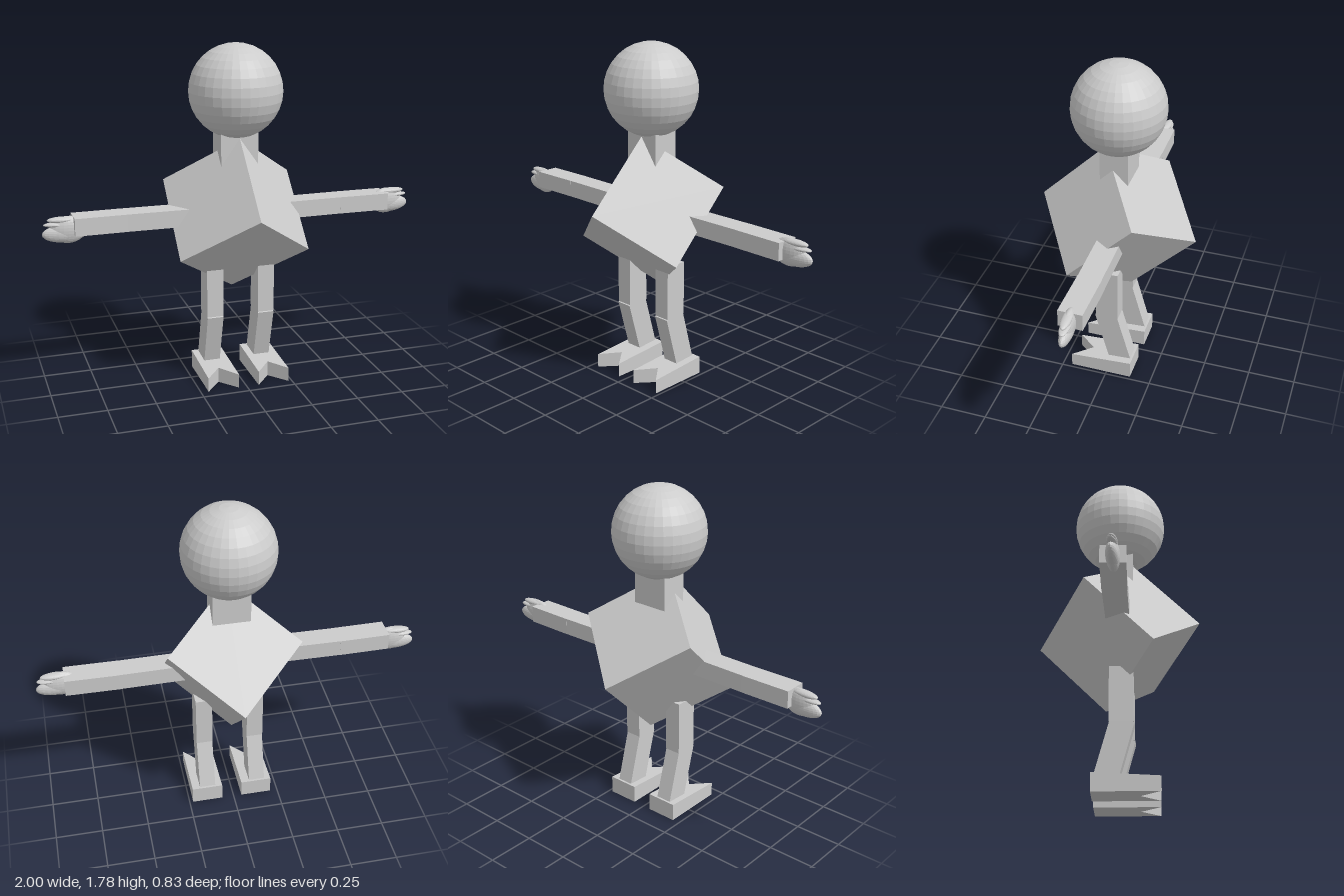
import * as THREE from 'three';

const material = new THREE.MeshStandardMaterial({ color: 0xcccccc, flatShading: true });

function add(parent, name, geometry, x = 0, y = 0, z = 0) {
  const mesh = new THREE.Mesh(geometry, material);
  mesh.name = name;
  mesh.position.set(x, y, z);
  parent.add(mesh);
  return mesh;
}

// Box running along x between two points
function addSegment(parent, name, from, to, height, depth) {
  const a = new THREE.Vector3(...from), b = new THREE.Vector3(...to);
  const mesh = add(parent, name, new THREE.BoxGeometry(a.distanceTo(b), height, depth));
  mesh.position.copy(a).lerp(b, 0.5);
  mesh.quaternion.setFromUnitVectors(new THREE.Vector3(1, 0, 0), b.sub(a).normalize());
}

function ellipsoid(rx, ry, rz) {
  return new THREE.SphereGeometry(1, 24, 14).scale(rx, ry, rz);
}

// Wedge foot with a V-shaped notch between two pointed toes
function footGeometry() {
  const shape = new THREE.Shape([
    [-0.083, -0.2], [0, -0.1], [0.083, -0.2], [0.083, 0.135], [-0.083, 0.135],
  ].map(([x, y]) => new THREE.Vector2(x, y)));
  const geometry = new THREE.ExtrudeGeometry(shape, { depth: 0.09, bevelEnabled: false });
  geometry.rotateX(-Math.PI / 2);
  const p = geometry.attributes.position;
  for (let i = 0; i < p.count; i++) {
    // The top slopes down toward the toes
    if (p.getY(i) > 0.01) p.setY(i, 0.095 - (p.getZ(i) + 0.135) * 0.06);
  }
  geometry.computeVertexNormals();
  return geometry;
}

function createArm(side, name, y, z, endX) {
  const arm = new THREE.Group();
  arm.name = name;
  addSegment(arm, 'upperArm', [side * 0.2, y, z + 0.002], [side * 0.59, y, z - 0.003], 0.09, 0.12);
  addSegment(arm, 'forearm', [side * 0.58, y, z - 0.003], [side * endX, y, z], 0.09, 0.122);

  // Rounded palm with fingers split at the outer end
  const hand = new THREE.Group();
  hand.name = 'hand';
  hand.position.set(side * 0.88, 0.885, z);
  hand.rotation.y = side > 0 ? 0.06 : -0.06;
  add(hand, 'palm', ellipsoid(0.09, 0.07, 0.032), -side * 0.01);
  add(hand, 'lowerFinger', ellipsoid(0.11, 0.045, 0.03), side * 0.01, -0.02);
  add(hand, 'middleFinger', ellipsoid(0.075, 0.013, 0.025), side * 0.037, 0.029);
  add(hand, 'upperFinger', ellipsoid(0.075, 0.016, 0.025), side * 0.018, 0.052);
  arm.add(hand);
  return arm;
}

function createLeg(name, x, footX) {
  const leg = new THREE.Group();
  leg.name = name;
  add(leg, 'upperLeg', new THREE.BoxGeometry(0.088, 0.29, 0.122), x, 0.505, 0.01);
  const shin = add(leg, 'lowerLeg', new THREE.BoxGeometry(0.086, 0.33, 0.12), x, 0.213, -0.027);
  shin.rotation.x = 0.27;
  add(leg, 'foot', footGeometry(), footX);
  return leg;
}

export function createModel() {
  const model = new THREE.Group();
  model.name = 'figure';

  add(model, 'head', new THREE.SphereGeometry(0.24, 32, 16), 0, 1.537, 0);
  add(model, 'neck', new THREE.BoxGeometry(0.196, 0.3, 0.146), 0, 1.22, -0.003);

  // Cube tilted onto a corner
  const torso = add(model, 'torso', new THREE.BoxGeometry(0.485, 0.485, 0.485), 0, 0.89, 0);
  torso.rotation.set(-Math.PI / 4, Math.PI / 4, 0);

  model.add(createArm(1, 'leftArm', 0.893, -0.037, 0.855));
  model.add(createArm(-1, 'rightArm', 0.907, -0.006, 0.845));
  model.add(createLeg('leftLeg', 0.145, 0.148));
  model.add(createLeg('rightLeg', -0.133, -0.127));
  return model;
}
